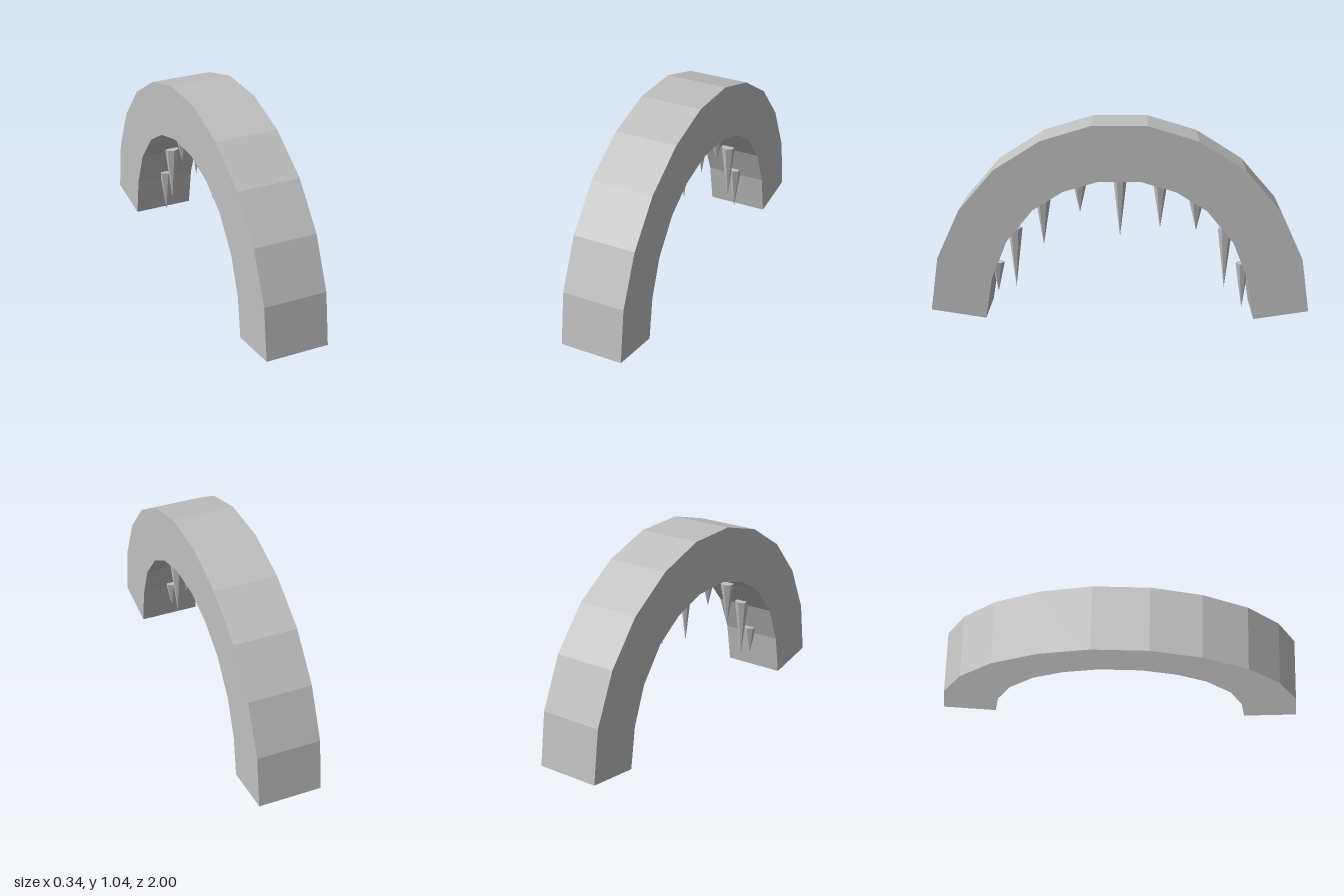
import * as THREE from 'three';

export function createModel() {
  const model = new THREE.Group();
  model.name = 'spikedArch';
  const stone = new THREE.MeshStandardMaterial({ color: 0xc0c0c0, flatShading: true });
  stone.name = 'grey stone';

  // Arch: half profiles as [z, y] from the foot to the crown, mirrored across z = 0
  const outer = [[1, 0.045], [0.96, 0.33], [0.84, 0.59], [0.655, 0.803], [0.41, 0.957], [0.145, 1.037]];
  const inner = [[0.71, 0], [0.675, 0.22], [0.595, 0.42], [0.455, 0.59], [0.295, 0.69], [0.108, 0.745]];
  const mirrored = (half) => [...half, ...half.map(([z, y]) => [-z, y]).reverse()];
  const outline = [...mirrored(outer), ...mirrored(inner).reverse()];
  const shape = new THREE.Shape(outline.map(([z, y]) => new THREE.Vector2(z, y)));
  const width = 0.336;
  const archGeometry = new THREE.ExtrudeGeometry(shape, { depth: width, bevelEnabled: false });
  archGeometry.translate(0, 0, -width / 2);
  archGeometry.rotateY(-Math.PI / 2);
  const arch = new THREE.Mesh(archGeometry, stone);
  arch.name = 'arch';
  model.add(arch);

  // Hanging spikes: [z, top, tip, radius]
  const spikes = [
    [0.66, 0.262, 0.096, 0.036],
    [0.5625, 0.455, 0.123, 0.039],
    [0.41, 0.608, 0.359, 0.039],
    [0.214, 0.712, 0.541, 0.039],
    [0, 0.75, 0.407, 0.039],
    [-0.214, 0.71, 0.455, 0.039],
    [-0.407, 0.61, 0.443, 0.039],
    [-0.5625, 0.455, 0.123, 0.039],
    [-0.66, 0.262, 0.008, 0.037],
  ];
  spikes.forEach(([z, top, tip, radius], i) => {
    const geometry = new THREE.ConeGeometry(radius, top - tip, 6);
    geometry.rotateX(Math.PI);
    const spike = new THREE.Mesh(geometry, stone);
    spike.name = `spike${i + 1}`;
    spike.position.set(0, (top + tip) / 2, z);
    model.add(spike);
  });

  return model;
}
